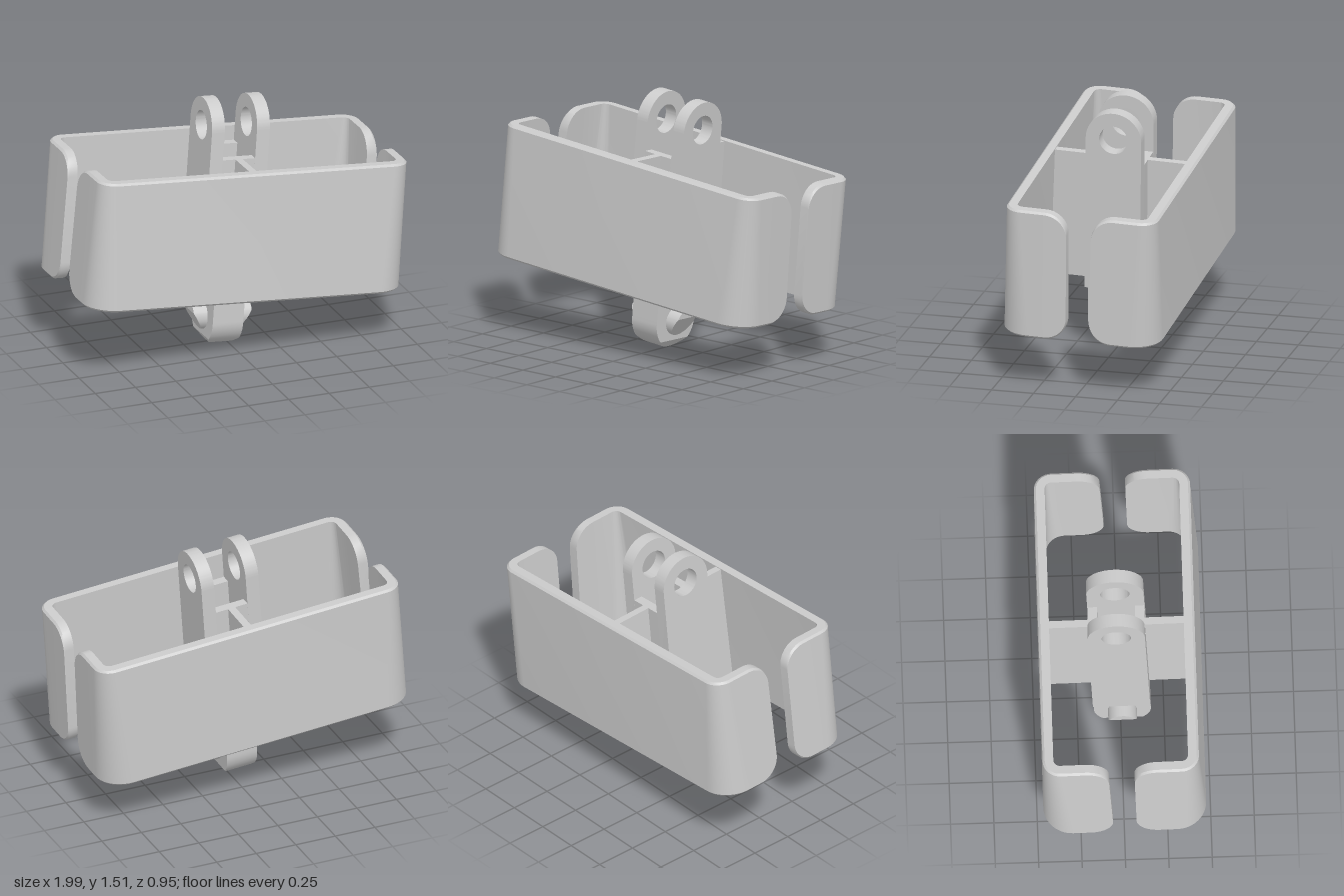
import * as THREE from 'three';
import { toCreasedNormals } from 'three/addons/utils/BufferGeometryUtils.js';
import { ConvexGeometry } from 'three/addons/geometries/ConvexGeometry.js';

const material = new THREE.MeshStandardMaterial({ color: 0xcccccc });
const H = 0.39;      // half height of the shell
const WALL = 0.062;  // wall thickness
const END_R = 0.13;  // rounding of the arm ends
const STEPS = 10;

function part(geometry, name) {
  const mesh = new THREE.Mesh(geometry, material);
  mesh.name = name;
  return mesh;
}

// Plan position on the tapered C-shaped wall; e = distance along the arm, or corner angle a
function wallPoint(station, inset, y) {
  const w = 0.968 - 0.022 * y;
  const d = 0.46 - 0.025 * y;
  const r = 0.135 - 0.09 * y;
  let x, z;
  if (station.a === undefined) {
    x = w - inset;
    z = 0.071 + 0.012 * y + station.e;
  } else {
    x = w - r + (r - inset) * Math.cos(station.a);
    z = d - r + (r - inset) * Math.sin(station.a);
  }
  return [station.side * x, y, z];
}

// One half of the shell: a rectangular section swept round a C, with rounded free ends
function shellHalf() {
  const half = [];
  for (let i = 0; i <= STEPS; i++) {
    const t = (i / STEPS) * Math.PI / 2;
    half.push({ e: END_R * (1 - Math.cos(t)), h: H - END_R * (1 - Math.sin(t)) });
  }
  for (let i = 0; i <= STEPS; i++) half.push({ a: (i / STEPS) * Math.PI / 2, h: H });
  const stations = [
    ...half.map((s) => ({ ...s, side: 1 })),
    ...half.slice().reverse().map((s) => ({ ...s, side: -1 })),
  ];
  const bevel = 0.012;
  const rings = stations.map((s) => [
    [bevel, s.h], [0, s.h - bevel], [0, bevel - s.h],
    [bevel, -s.h], [WALL, -s.h], [WALL, s.h],
  ].map(([inset, y]) => wallPoint(s, inset, y)));

  const positions = [];
  const tri = (a, b, c) => positions.push(...a, ...b, ...c);
  const n = rings[0].length;
  for (let i = 0; i < rings.length - 1; i++) {
    for (let j = 0; j < n; j++) {
      const k = (j + 1) % n;
      tri(rings[i][j], rings[i + 1][j], rings[i][k]);
      tri(rings[i + 1][j], rings[i + 1][k], rings[i][k]);
    }
  }
  const first = rings[0], last = rings[rings.length - 1];
  for (let k = 1; k < n - 1; k++) {
    tri(first[0], first[k], first[k + 1]);
    tri(last[0], last[k + 1], last[k]);
  }
  const geometry = new THREE.BufferGeometry();
  geometry.setAttribute('position', new THREE.Float32BufferAttribute(positions, 3));
  return toCreasedNormals(geometry, 0.6);
}

// Side plate ending in a round eye
function eyePlate() {
  const shape = new THREE.Shape();
  shape.moveTo(-0.165, -0.385);
  shape.lineTo(0.165, -0.385);
  shape.lineTo(0.165, 0.553);
  shape.absarc(0, 0.553, 0.165, 0, Math.PI, false);
  shape.closePath();
  const hole = new THREE.Path();
  hole.absarc(0, 0.553, 0.085, 0, Math.PI * 2, true);
  shape.holes.push(hole);
  const geometry = new THREE.ExtrudeGeometry(shape, { depth: 0.08, bevelEnabled: false, curveSegments: 32 });
  geometry.translate(0, 0, -0.04).rotateY(Math.PI / 2);
  return toCreasedNormals(geometry, 0.6);
}

// Convex solid from a z-y outline, mirrored in x, with half width given by y
function mirroredSolid(outline, halfWidth) {
  const points = [];
  for (const [z, y] of outline) {
    for (const side of [-1, 1]) points.push(new THREE.Vector3(side * halfWidth(y), y, z));
  }
  return toCreasedNormals(new ConvexGeometry(points), 0.4);
}

function arc(r, cy, from, to, steps) {
  return Array.from({ length: steps + 1 }, (_, i) => {
    const t = from + (to - from) * i / steps;
    return [r * Math.cos(t), cy + r * Math.sin(t)];
  });
}

// Add the two outline points where a chamfer begins at height y
function crease(r, cy, y) {
  const z = Math.sqrt(r * r - (y - cy) ** 2);
  return [[z, y], [-z, y]];
}

export function createModel() {
  const body = new THREE.Group();
  body.name = 'link';

  // Front and back shells with the open slots at both ends
  const shell = shellHalf();
  const front = part(shell, 'frontShell');
  const back = part(shell, 'backShell');
  back.rotation.y = Math.PI;
  body.add(front, back);

  // Twin plates with eyes
  const plate = eyePlate();
  for (const side of [-1, 1]) {
    const mesh = part(plate, side > 0 ? 'leftEyePlate' : 'rightEyePlate');
    mesh.position.x = side * 0.14;
    body.add(mesh);
  }

  // Cross walls between the plates, and webs out to the shells
  for (const side of [-1, 1]) {
    const label = side > 0 ? 'front' : 'back';
    const cross = part(new THREE.BoxGeometry(0.21, 0.77, 0.055), label + 'CrossWall');
    cross.position.z = side * 0.137;
    const web = part(new THREE.BoxGeometry(0.045, 0.77, 0.27), label + 'Web');
    web.position.z = side * 0.285;
    body.add(cross, web);
  }

  // Lower tongue with a chamfered round end
  const cy = -0.61, r = 0.164;
  const tongueOutline = [
    [-r, -0.3], [r, -0.3],
    ...arc(r, cy, Math.PI, Math.PI * 2, 32),
    ...crease(r, cy, -0.725),
  ];
  body.add(part(mirroredSolid(tongueOutline, (y) => 0.095 - Math.max(0, -0.725 - y) * 0.85), 'tongue'));

  // Snap pin with sloped lead-in on both ends
  const pinOutline = [
    ...arc(0.083, 0, 0, Math.PI * 2 * 31 / 32, 31),
    ...crease(0.083, 0, 0.035),
  ];
  const pin = part(mirroredSolid(pinOutline, (y) => 0.18 - Math.max(0, 0.035 - y) * 0.6), 'snapPin');
  pin.position.y = cy;
  body.add(pin);

  // Overall lean
  body.rotation.set(-0.03, 0, -0.08);
  body.position.set(0.005, 0.776, -0.008);

  const model = new THREE.Group();
  model.name = 'chainLink';
  model.add(body);
  return model;
}
